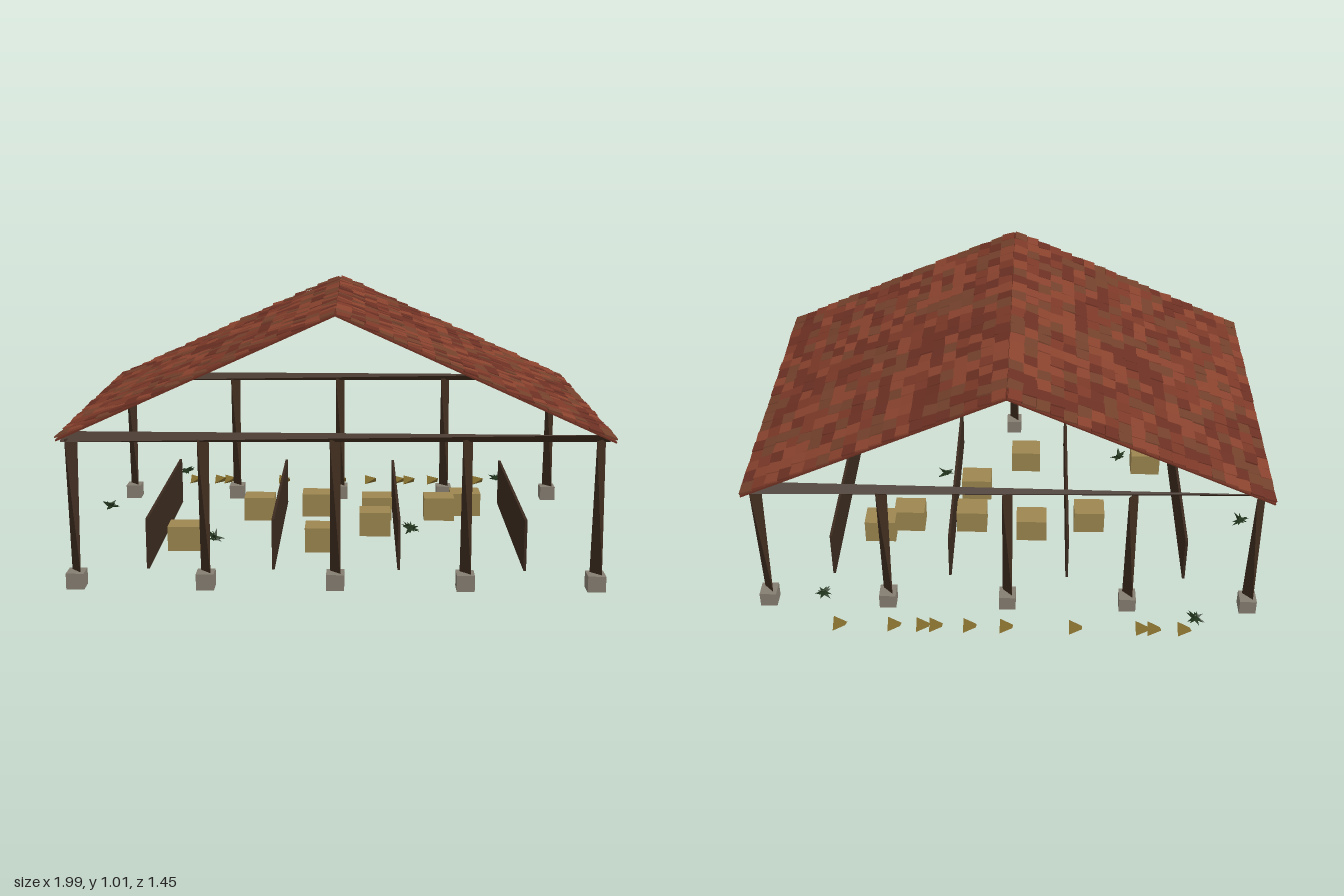
import * as THREE from 'three';
import { mergeGeometries } from 'three/addons/utils/BufferGeometryUtils.js';

const mat = (color, side = THREE.FrontSide) =>
  new THREE.MeshStandardMaterial({ color, flatShading: true, side });

const wood = mat(0x3f2c1e), darkWood = mat(0x3b2a1e), stone = mat(0x857d70);
const straw = mat(0x9c8650), looseStraw = mat(0x8a7230), leaf = mat(0x24381f, THREE.DoubleSide);
const roofBoard = mat(0x6e3022);
const tileMats = [0x6c3023, 0x7c3928, 0x8a432e, 0x74412c].map(c => mat(c));

// Seeded random numbers
let seed = 7;
const rnd = (a = 0, b = 1) => {
  seed = (seed * 16807) % 2147483647;
  return a + (b - a) * seed / 2147483647;
};

function add(parent, name, geo, material, x = 0, y = 0, z = 0) {
  const m = new THREE.Mesh(geo, material);
  m.name = name;
  m.position.set(x, y, z);
  parent.add(m);
  return m;
}

// Four-cornered wedge that fills a w x h x d box
const wedge = (w, h, d) => new THREE.TetrahedronGeometry(Math.sqrt(3) / 2).scale(w, h, d);

// Roof slope with loose overlapping tiles; side is +1 or -1
function roofSlope(side) {
  const g = new THREE.Group();
  g.name = side > 0 ? 'leftRoofSlope' : 'rightRoofSlope';
  const run = 0.985, rise = 0.445, length = Math.hypot(run, rise), depth = 1.31;
  add(g, 'roofBoard', new THREE.BoxGeometry(length, 0.006, depth), roofBoard);
  const n = 20, px = length / n, pz = depth / n;
  const shades = tileMats.map(() => []);
  for (let i = 0; i < n; i++) {
    for (let j = 0; j < n; j++) {
      const edge = j === 0 || j === n - 1 || i === n - 1;
      const t = new THREE.BoxGeometry(px * (edge ? 0.94 : 1.08), 0.006, pz * (edge ? 0.94 : 1));
      t.rotateY(edge ? 0 : rnd(-0.09, 0.09));
      t.rotateX(rnd(-0.07, 0.07));
      t.rotateZ(side * rnd(0.04, 0.16));
      t.translate(side * (-length / 2 + (i + 0.5) * px), 0.007 + rnd(0, 0.004), -depth / 2 + (j + 0.5) * pz);
      shades[Math.floor(rnd(0, 3.999))].push(t);
    }
  }
  shades.forEach((list, k) => add(g, 'roofTiles', mergeGeometries(list), tileMats[k]));
  g.position.set(side * run / 2, 0.555 + rise / 2, 0.07);
  g.rotation.z = -side * Math.atan2(rise, run);
  return g;
}

// Small spiky bush of three-sided leaves
function bush(x, z) {
  const leaves = [];
  for (let i = 0; i < 12; i++) {
    const a = i * 2.4 + rnd(-0.3, 0.3), len = rnd(0.035, 0.048);
    const c = new THREE.ConeGeometry(0.012, len, 3).translate(0, len / 2 - 0.005, 0);
    c.rotateZ(-rnd(0.8, 2.0)).rotateY(a);
    leaves.push(c);
  }
  const m = new THREE.Mesh(mergeGeometries(leaves), leaf);
  m.name = 'bush';
  m.position.set(x, 0.083, z);
  return m;
}

export function createModel() {
  const model = new THREE.Group();
  model.name = 'openStable';

  // Posts on stone footings, with a beam along each row
  for (const z of [0.68, -0.535]) {
    for (let i = -2; i <= 2; i++) {
      add(model, 'footing', new THREE.BoxGeometry(0.065, 0.06, 0.068), stone, i * 0.47, 0.03, z);
      add(model, 'post', wedge(0.5, 0.038, 0.038).rotateZ(Math.PI / 2), wood, i * 0.47, 0.305, z);
    }
    add(model, 'beam', wedge(1.95, 0.032, 0.034), wood, 0, 0.56, z);
  }

  // Stall partitions
  for (const x of [-0.705, -0.235, 0.235, 0.705])
    add(model, 'partition', new THREE.BoxGeometry(0.01, 0.195, 0.92), darkWood, x, 0.115, 0.07);

  // Straw bales
  const bales = [[-0.59, 0.33], [-0.06, 0.34], [-0.09, -0.14], [-0.33, -0.08],
    [0.42, -0.09], [0.535, -0.16], [0.16, -0.09], [0.15, 0.13]];
  for (const [x, z] of bales)
    add(model, 'strawBale', new THREE.BoxGeometry(0.125, 0.097, 0.1), straw, x, 0.087, z);

  // Loose straw behind the shelter
  for (const x of [-0.68, -0.565, -0.52, -0.265, 0, 0.14, 0.27, 0.32, 0.43, 0.64])
    add(model, 'looseStraw', wedge(0.05, 0.03, 0.05), looseStraw, x, 0.038, -0.702);

  // Bushes
  for (const [x, z] of [[-0.72, -0.685], [0.715, -0.577], [-0.965, -0.09], [-0.475, 0.35], [0.29, 0.21]])
    model.add(bush(x, z));

  // Gable roof
  model.add(roofSlope(1), roofSlope(-1));
  return model;
}
